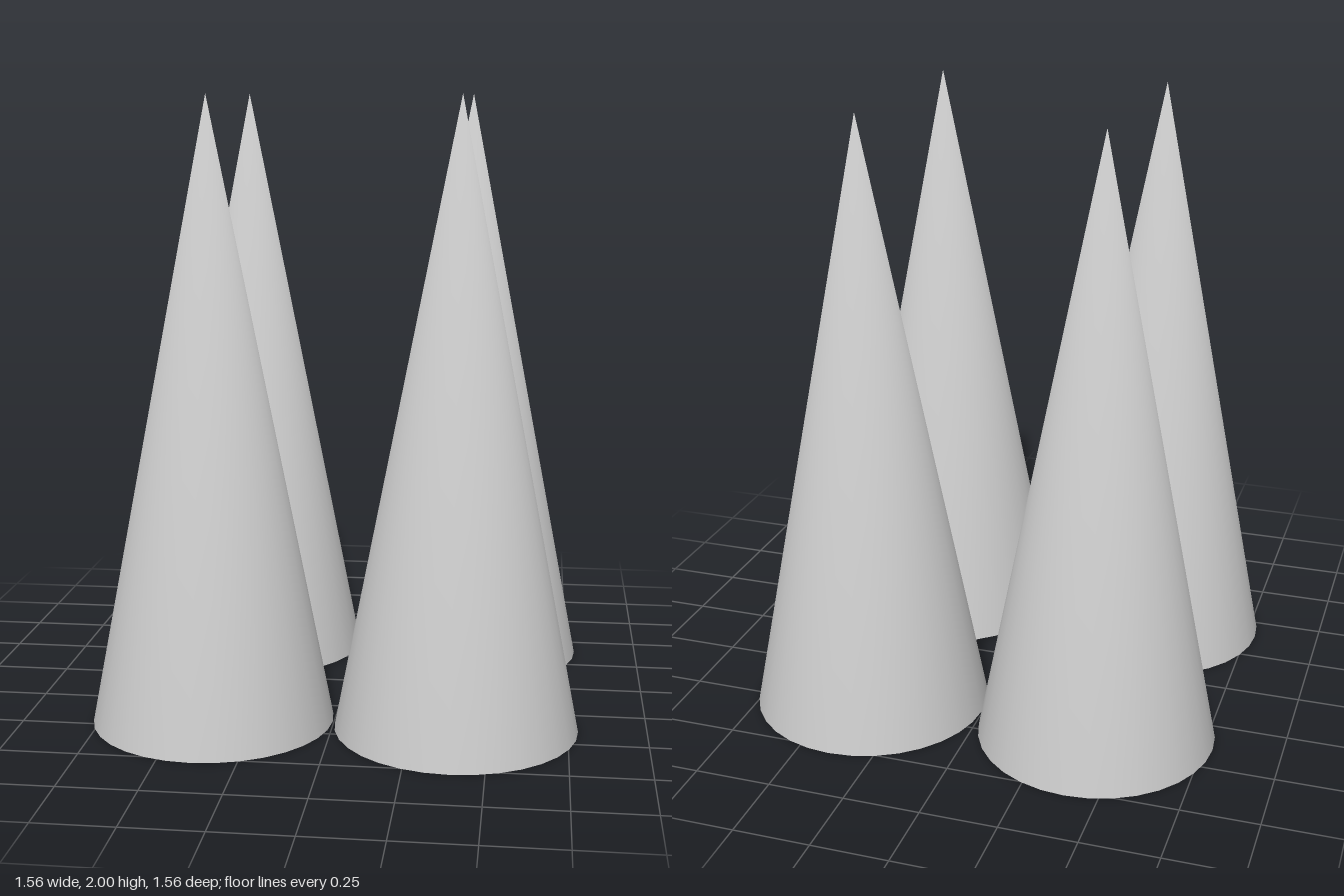
import * as THREE from 'three';

const HEIGHT = 2, RADIUS = 0.389, OFFSET = 0.393, SIDES = 32;

// Cone standing on y = 0, with its tip shaded as one smooth point facing up
function makeConeGeometry() {
  const geometry = new THREE.ConeGeometry(RADIUS, HEIGHT, SIDES, 1);
  geometry.translate(0, HEIGHT / 2, 0);
  const { position, normal } = geometry.attributes;
  for (let i = 0; i < position.count; i++) {
    if (position.getY(i) > HEIGHT - 0.001) normal.setXYZ(i, 0, 1, 0);
  }
  return geometry;
}

export function createModel() {
  const group = new THREE.Group();
  group.name = 'coneCluster';
  const geometry = makeConeGeometry();
  const material = new THREE.MeshStandardMaterial({ color: 0xcccccc });

  // Four equal cones in a square, their bases almost touching
  for (const [zSide, zSign] of [['front', 1], ['back', -1]]) {
    for (const [xSide, xSign] of [['Left', 1], ['Right', -1]]) {
      const cone = new THREE.Mesh(geometry, material);
      cone.name = `${zSide}${xSide}Cone`;
      cone.position.set(xSign * OFFSET, 0, zSign * OFFSET);
      group.add(cone);
    }
  }
  return group;
}
